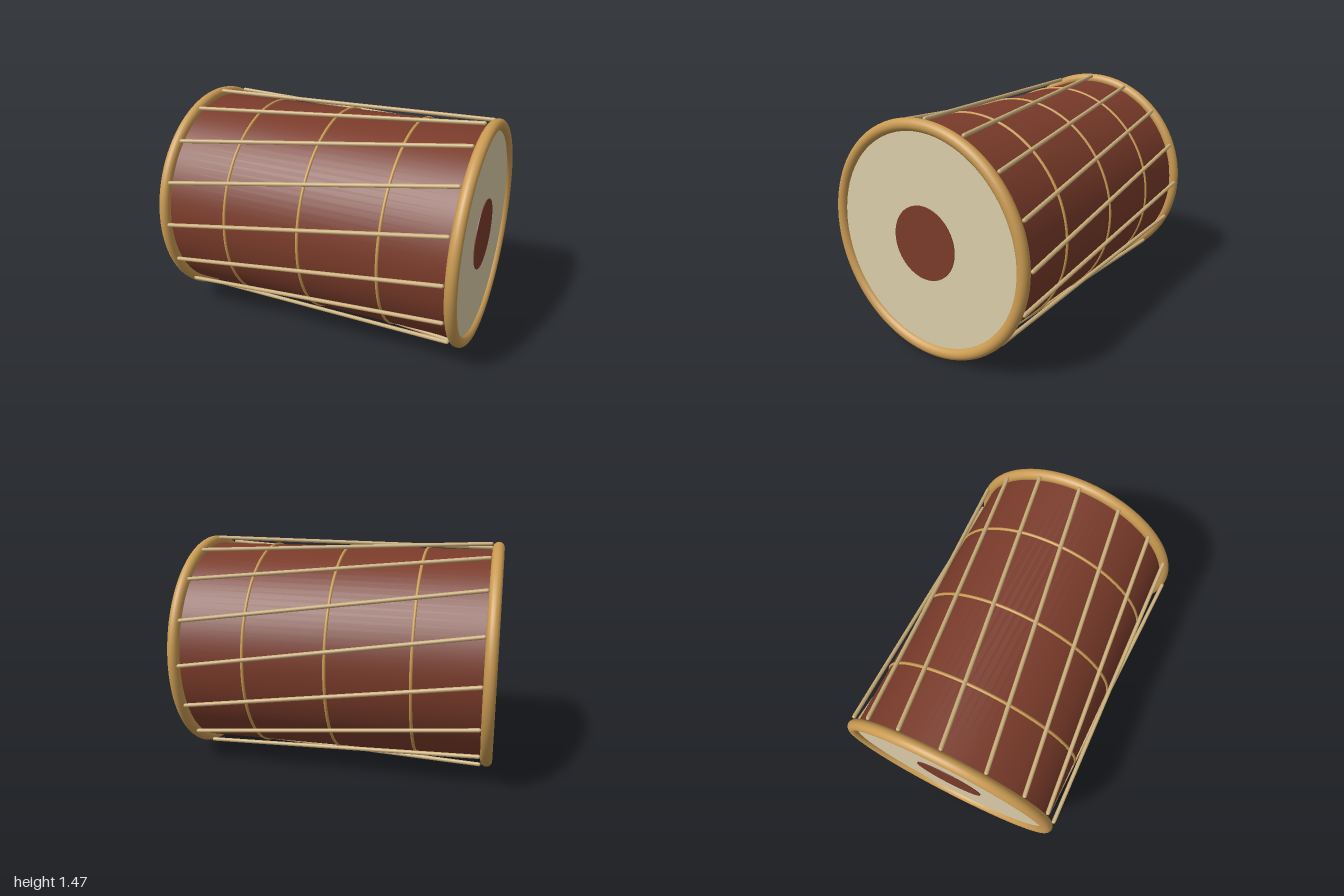
import * as THREE from 'three';

const AXIS_Y = 0.733;      // height of the drum's axis
const ROPES = 16;

const mat = (color) => new THREE.MeshStandardMaterial({ color });

export function createModel() {
  const model = new THREE.Group();
  model.name = 'drum';
  const drum = new THREE.Group();
  drum.name = 'drumBody';
  drum.position.y = AXIS_Y;
  model.add(drum);

  const wood = mat(0x7a3b2a);
  const skin = mat(0xdccdaa);
  const gold = mat(0xc99a52);
  const cord = mat(0xc8ac78);

  const add = (name, geometry, material, x = 0) => {
    const mesh = new THREE.Mesh(geometry, material);
    mesh.name = name;
    mesh.position.x = x;
    drum.add(mesh);
    return mesh;
  };

  // Wooden shell lying along x
  add('shell', new THREE.CylinderGeometry(0.68, 0.68, 1.9, 96, 1, true).rotateZ(Math.PI / 2), wood);

  // Rims, skins and dark centre patches at both ends
  for (const [side, s] of [['left', 1], ['right', -1]]) {
    add(side + 'Rim', new THREE.TorusGeometry(0.693, 0.037, 20, 96).rotateY(Math.PI / 2), gold, s * 0.963);
    add(side + 'Skin', new THREE.CylinderGeometry(0.685, 0.685, 0.02, 96).rotateZ(Math.PI / 2), skin, s * 0.96);
    add(side + 'Patch', new THREE.CylinderGeometry(0.228, 0.228, 0.008, 64).rotateZ(Math.PI / 2), wood, s * 0.971);
  }

  // Thin hoops around the shell
  for (const x of [-0.517, 0, 0.517]) {
    add('hoop', new THREE.TorusGeometry(0.68, 0.01, 10, 96).rotateY(Math.PI / 2), gold, x);
  }

  // Tension ropes, each leaning one step around the shell
  const step = (Math.PI * 2) / ROPES;
  const ringPoint = (x, a) => new THREE.Vector3(x, 0.72 * Math.sin(a), 0.72 * Math.cos(a));
  const up = new THREE.Vector3(0, 1, 0);
  for (let i = 0; i < ROPES; i++) {
    const from = ringPoint(-0.917, i * step);
    const to = ringPoint(0.917, (i + 1) * step);
    const dir = to.clone().sub(from);
    const rope = add('rope', new THREE.CapsuleGeometry(0.013, dir.length(), 4, 12), cord);
    rope.position.copy(from).add(to).multiplyScalar(0.5);
    rope.quaternion.setFromUnitVectors(up, dir.normalize());
  }

  return model;
}
